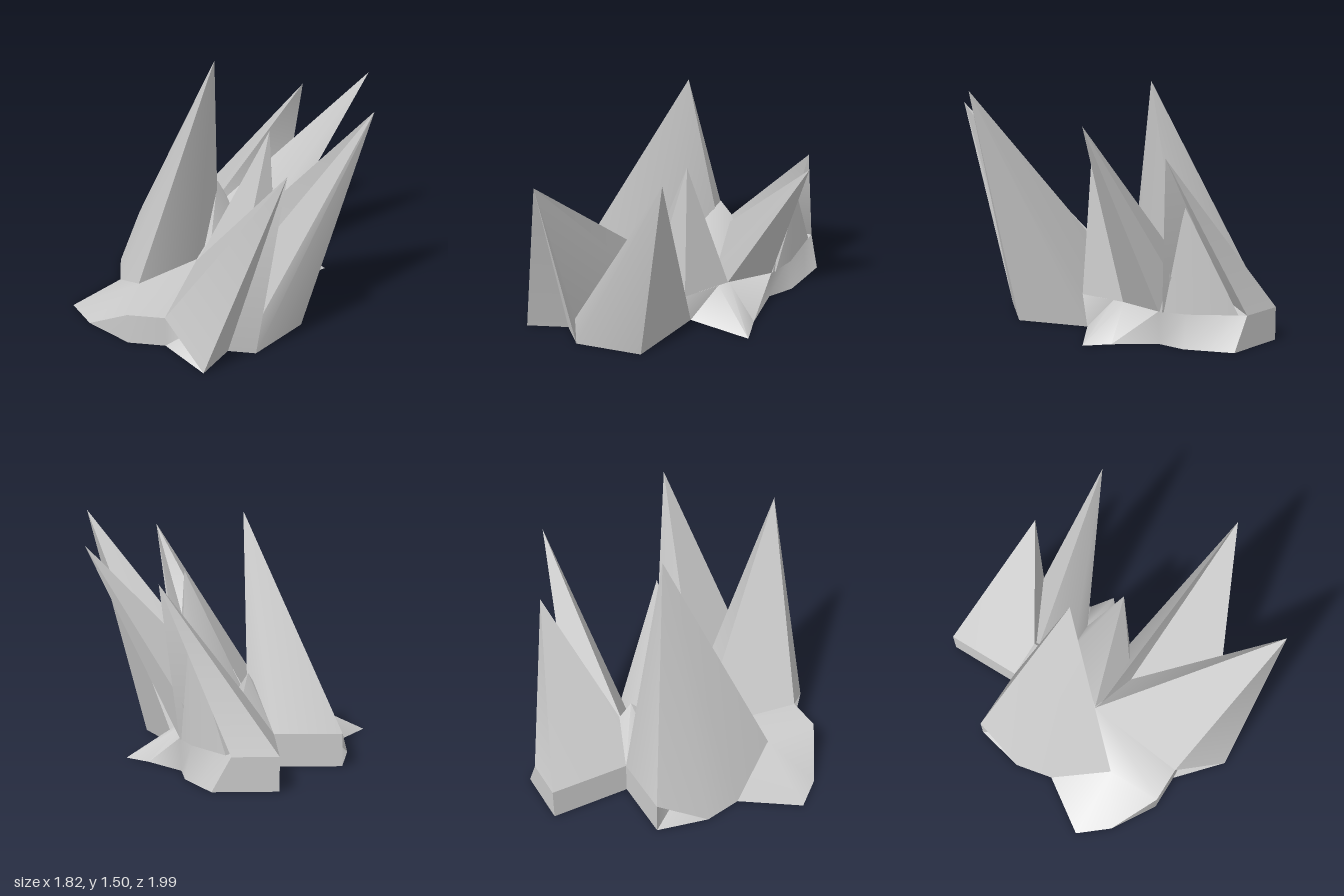
import * as THREE from 'three';
import { toCreasedNormals } from 'three/addons/utils/BufferGeometryUtils.js';

const TOP = 0.2; // height of the slab the spikes grow from

function creased(triangles) {
  const g = new THREE.BufferGeometry();
  g.setAttribute('position', new THREE.Float32BufferAttribute(triangles.flat(2), 3));
  return toCreasedNormals(g, 0.9);
}

// Triangles from every edge of a loop to one point
function fan(loop, tip) {
  return loop.map((p, i) => [p, loop[(i + 1) % loop.length], tip]);
}

// Loop points are [x, z] at slab height, or [x, z, y]
const at = ([x, z, y = TOP]) => [x, y, z];

export function createModel() {
  const model = new THREE.Group();
  const material = new THREE.MeshStandardMaterial({ color: 0xcccccc, side: THREE.DoubleSide });

  function add(name, triangles) {
    const mesh = new THREE.Mesh(creased(triangles), material);
    mesh.name = name;
    model.add(mesh);
  }

  // Rocky base: ground x, z and matching upper x, z, counter-clockwise from above
  const rim = [
    [-0.91, 0.40, -0.48, 0.40], [-0.76, 0.58, -0.48, 0.40], [-0.48, 0.75, -0.48, 0.75],
    [-0.25, 0.75, -0.25, 0.75], [0.02, 0.99, 0.02, 0.75], [0.13, 0.75, 0.13, 0.75],
    [0.30, 0.75, 0.30, 0.75], [0.54, 0.41, 0.34, 0.40], [0.34, 0.00, 0.34, 0.04],
    [0.64, -0.27, 0.31, -0.20], [0.50, -0.37, 0.30, -0.28], [0.30, -0.57, 0.31, -0.57],
    [0.28, -0.74, 0.24, -0.72], [0.20, -0.88, 0.10, -0.90], [0.13, -1.00, 0.02, -1.00],
    [-0.25, -1.00, -0.25, -1.00], [-0.25, -0.50, -0.25, -0.50], [-0.66, -0.50, -0.66, -0.50],
    [-0.73, -0.18, -0.52, -0.20], [-0.68, 0.06, -0.48, 0.10],
  ];
  const ground = rim.map(([x, z]) => [x, 0, z]);
  const upper = rim.map(([, , x, z]) => [x, TOP, z]);
  const walls = rim.flatMap((_, i) => {
    const j = (i + 1) % rim.length;
    return [[ground[i], ground[j], upper[j]], [ground[i], upper[j], upper[i]]];
  });
  const underside = fan([...ground].reverse(), [0, 0, -0.2]);
  add('rockBase', [...walls, ...fan(upper, [0, TOP, -0.2]), ...underside]);

  // Leaning spikes: tip and root loop
  const spikes = {
    tallLeftSpike: {
      tip: [-0.08, 1.5, -0.14],
      root: [[-0.48, 0.4], [-0.17, 0.06], [-0.1, -0.4], [-0.25, -0.5], [-0.66, -0.5],
        [-0.73, -0.18, 0], [-0.68, 0.06, 0]],
    },
    frontSpike: {
      tip: [0.48, 1.33, 0.99],
      root: [[-0.25, 0.75], [0.02, 0.99, 0], [0.13, 0.75, 0], [0.3, 0.75, 0], [0.3, 0.75],
        [0.13, 0.18], [-0.17, 0.08]],
    },
    sideSpike: {
      tip: [0.91, 1.47, 0.4],
      root: [[0.3, 0.75], [0.3, 0.75, 0], [0.54, 0.41, 0], [0.34, 0, 0], [0.34, 0.04],
        [-0.12, 0.1], [0.13, 0.18]],
    },
    middleSpike: {
      tip: [0.28, 1.12, 0.01],
      root: [[0.34, 0.04], [0.3, -0.27], [0.13, -0.27], [-0.16, 0.08], [0.13, 0.18]],
    },
    rearSideSpike: {
      tip: [0.85, 1.33, -0.5],
      root: [[0.3, -0.27], [0.31, -0.57], [0.15, -0.68], [-0.1, -0.42, 0.35], [0.13, -0.27]],
    },
    // Hollowed under its overhang
    backSpike: {
      tip: [0.42, 1.13, -0.72],
      root: [[0.31, -0.6], [-0.15, -0.72], [0.02, -1], [-0.25, -1], [-0.25, -0.5],
        [-0.1, -0.43, 0.4]],
    },
    nestedSpike: {
      tip: [0.25, 0.83, -0.72],
      root: [[0.31, -0.58], [0.24, -0.74], [0.05, -0.96], [-0.12, -0.75]],
    },
    saddleRidge: {
      tip: [-0.1, 0.55, -0.38],
      root: [[0.1, -0.3], [0, -0.6], [-0.25, -0.5], [-0.3, -0.3], [-0.1, -0.05]],
    },
  };
  for (const [name, { tip, root }] of Object.entries(spikes)) add(name, fan(root.map(at), tip));

  return model;
}
